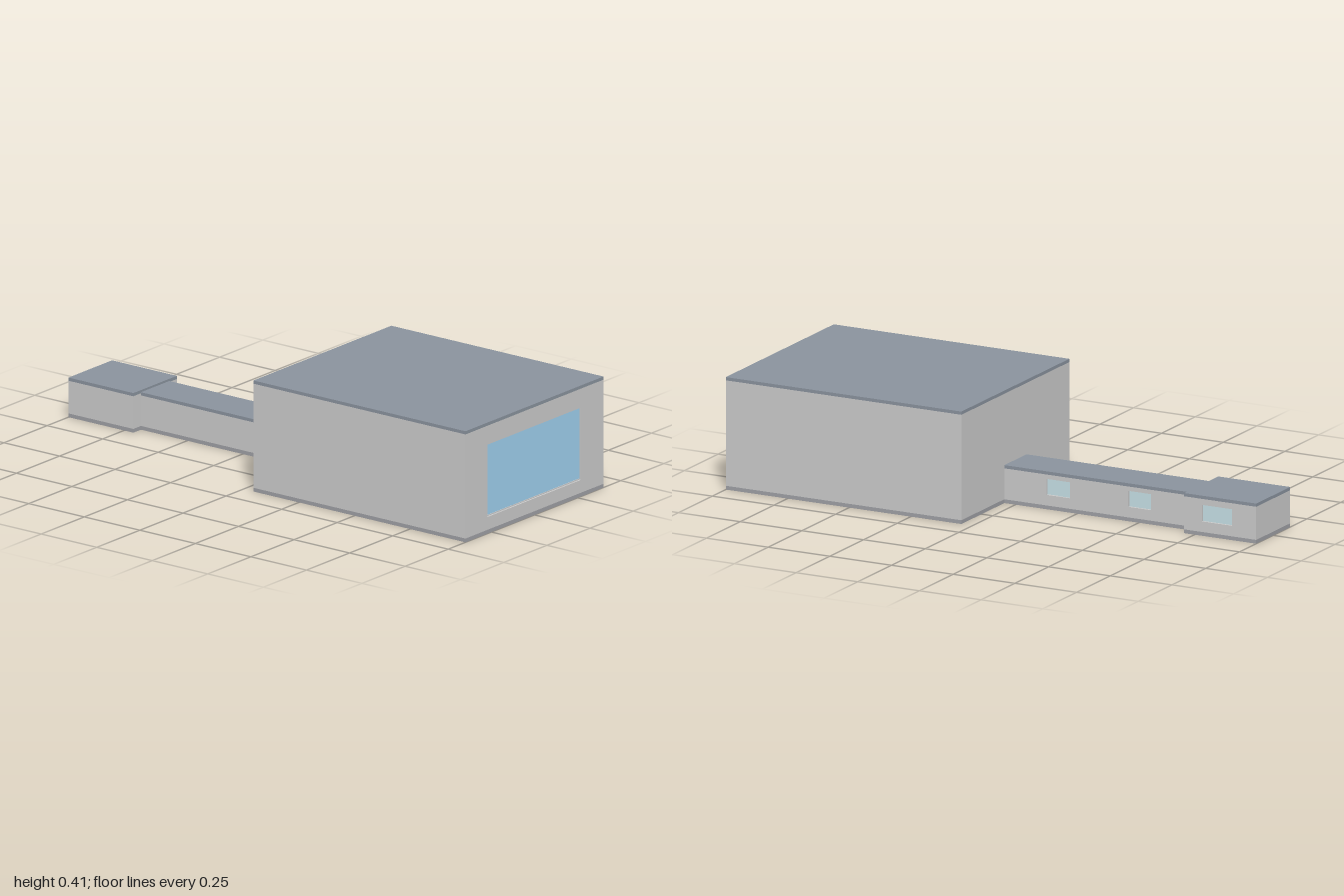
import * as THREE from 'three';

const T = 0.014; // wall and slab thickness
const mat = (color) => new THREE.MeshStandardMaterial({ color });
const wallMat = mat(0xcccccc), roofMat = mat(0x8a939e), floorMat = mat(0x9fa0a5);
const blueGlass = mat(0x9fd0ee), paleGlass = mat(0xc6e0e6);

function box(name, x0, x1, y0, y1, z0, z1, material) {
  const mesh = new THREE.Mesh(new THREE.BoxGeometry(x1 - x0, y1 - y0, z1 - z0), material);
  mesh.position.set((x0 + x1) / 2, (y0 + y1) / 2, (z0 + z1) / 2);
  mesh.name = name;
  return mesh;
}

// Upright wall, outer face at local z = 0; windows are [x0, x1, y0, y1] openings
function wall(name, width, y0, y1, windows = [], glass = paleGlass, sliding = false) {
  const group = new THREE.Group();
  group.name = name;
  const rect = (Kind, a, b, c, d) => new Kind([[a, c], [b, c], [b, d], [a, d]].map(([x, y]) => new THREE.Vector2(x, y)));
  const shape = rect(THREE.Shape, -width / 2, width / 2, y0, y1);
  for (const w of windows) shape.holes.push(rect(THREE.Path, ...w));
  const panel = new THREE.Mesh(new THREE.ExtrudeGeometry(shape, { depth: T, bevelEnabled: false }), wallMat);
  panel.position.z = -T;
  panel.name = name + 'Panel';
  group.add(panel);
  windows.forEach(([a, b, c, d], i) => {
    if (sliding && i === 0) {
      // two panes, one set slightly behind the other
      const mid = (a + b) / 2;
      group.add(box('slidingPaneOuter', mid, b, c, d, -0.01, -0.006, glass));
      group.add(box('slidingPaneInner', a, mid, c, d, -0.013, -0.009, glass));
    } else {
      group.add(box('windowPane', a, b, c, d, -0.012, -0.008, glass));
    }
  });
  return group;
}

// Hollow block: floor slab, roof slab and four walls
function block(name, halfW, height, z0, z1, { front = [], left = [], glass, sliding } = {}) {
  const group = new THREE.Group();
  group.name = name;
  const depth = z1 - z0, zc = (z0 + z1) / 2, top = height - T * 0.85;
  group.add(box('floorSlab', -halfW, halfW, 0, T, z0, z1, floorMat));
  group.add(box('roofSlab', -halfW, halfW, top, height, z0, z1, roofMat));
  const place = (w, x, z, turn) => {
    w.position.set(x, 0, z);
    w.rotation.y = turn;
    group.add(w);
  };
  const leftHoles = left.map(([za, zb, c, d]) => [zc - za, zc - zb, c, d]);
  const inner = 2 * (halfW - T);
  place(wall('frontWall', inner, T, top, front, glass), 0, z1, 0);
  place(wall('backWall', inner, T, top), 0, z0, Math.PI);
  place(wall('leftWall', depth, T, top, leftHoles, glass, sliding), halfW, zc, Math.PI / 2);
  place(wall('rightWall', depth, T, top), -halfW, zc, -Math.PI / 2);
  return group;
}

export function createModel() {
  const model = new THREE.Group();
  model.name = 'building';

  // Large hall with one wide front window
  const hall = block('mainHall', 0.4, 0.415, 0.045, 1, {
    front: [[-0.272, 0.27, 0.062, 0.333]], glass: blueGlass,
  });
  for (const y of [0.062, 0.329])
    hall.add(box('windowRail', -0.272, 0.27, y, y + 0.004, 0.986, 0.994, wallMat));
  model.add(hall);

  // Narrow corridor, windows on the left side only
  model.add(block('corridor', 0.082, 0.14, -0.708, 0.045, {
    left: [[-0.126, -0.222, 0.053, 0.112], [-0.457, -0.55, 0.053, 0.112]], sliding: true,
  }));

  // Small end room
  model.add(block('endRoom', 0.126, 0.148, -1, -0.708, {
    left: [[-0.78, -0.902, 0.053, 0.114]],
  }));
  return model;
}
